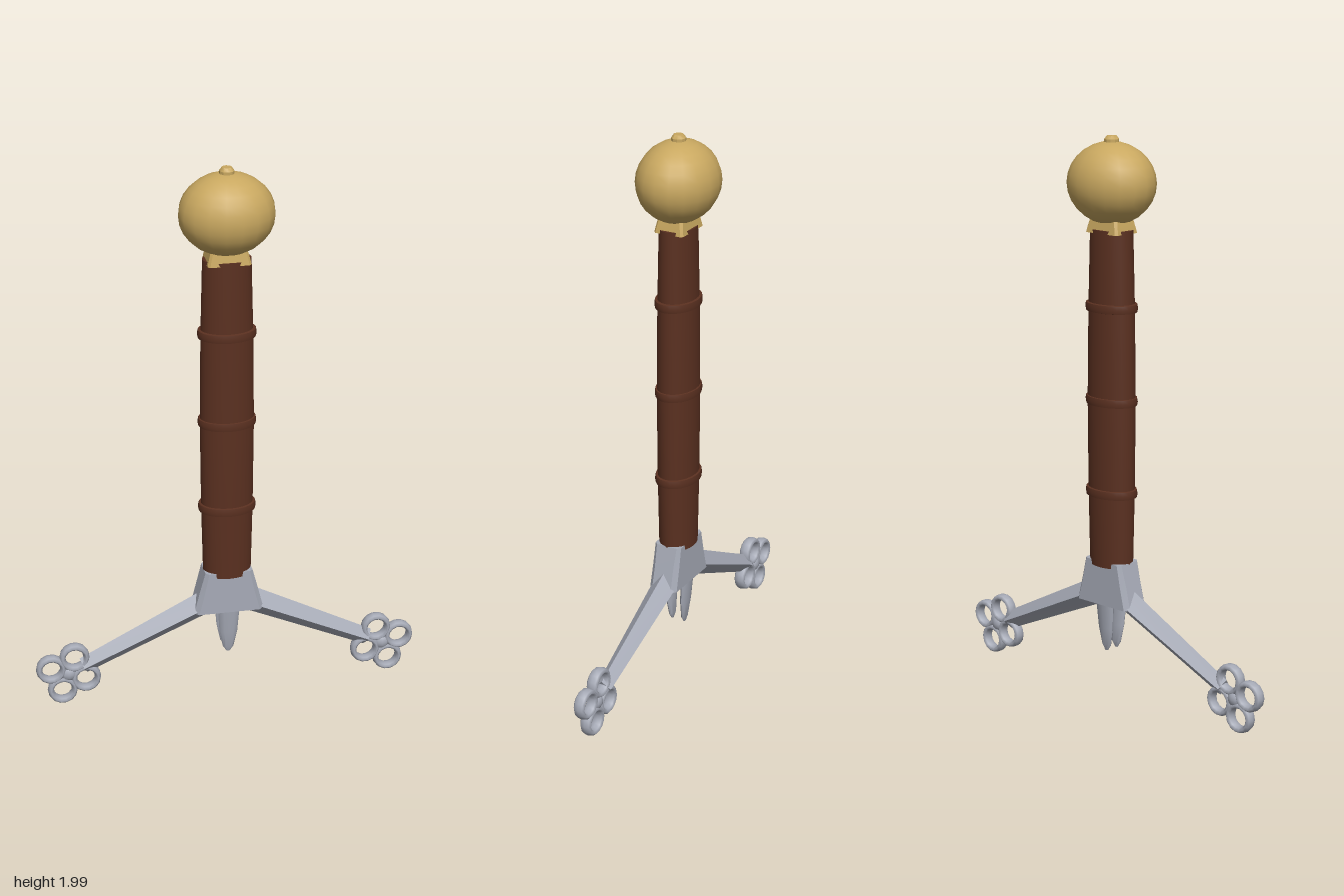
import * as THREE from 'three';
import { toCreasedNormals } from 'three/addons/utils/BufferGeometryUtils.js';

const material = (name, color) => {
  const m = new THREE.MeshStandardMaterial({ color });
  m.name = name;
  return m;
};

// Joins rings of points into a closed solid with creased edges
function loft(rings, crease = 0.3) {
  const pos = [];
  const tri = (...pts) => pts.forEach((p) => pos.push(...p));
  const n = rings[0].length;
  for (let i = 0; i < rings.length - 1; i++) {
    for (let j = 0; j < n; j++) {
      const k = (j + 1) % n;
      const a = rings[i][j], b = rings[i][k], c = rings[i + 1][k], d = rings[i + 1][j];
      tri(a, b, c);
      tri(a, c, d);
    }
  }
  const first = rings[0], last = rings[rings.length - 1];
  for (let j = 1; j < n - 1; j++) {
    tri(first[0], first[j + 1], first[j]);
    tri(last[0], last[j], last[j + 1]);
  }
  const g = new THREE.BufferGeometry();
  g.setAttribute('position', new THREE.Float32BufferAttribute(pos, 3));
  return toCreasedNormals(g, crease);
}

// Horizontal rectangle with cut corners
const cutRect = (y, hx, hz, c) => [
  [hx, y, hz - c], [hx, y, c - hz], [hx - c, y, -hz], [c - hx, y, -hz],
  [-hx, y, c - hz], [-hx, y, hz - c], [c - hx, y, hz], [hx - c, y, hz],
];

// Horizontal ellipse
const ellipse = (y, hx, zc, hz, n = 12) => Array.from({ length: n }, (_, i) => {
  const a = (i / n) * Math.PI * 2;
  return [Math.cos(a) * hx, y, zc - Math.sin(a) * hz];
});

export function createModel() {
  const gold = material('gold', 0xc9a860);
  const leather = material('leather', 0x5a3020);
  const steel = material('steel', 0xa6aab6);

  const model = new THREE.Group();
  model.name = 'swordHilt';
  const add = (name, geometry, mat, parent = model) => {
    const mesh = new THREE.Mesh(geometry, mat);
    mesh.name = name;
    parent.add(mesh);
    return mesh;
  };
  const lathe = (pts, sides) => toCreasedNormals(
    new THREE.LatheGeometry(pts.map(([r, y]) => new THREE.Vector2(r, y)), sides), 0.6);

  // Pommel, its nub and its collar
  const pommel = add('pommel', new THREE.SphereGeometry(1, 18, 14), gold);
  pommel.scale.set(0.166, 0.143, 0.141);
  pommel.position.y = 1.838;
  add('pommelNub', lathe([[0.026, 1.965], [0.026, 1.988], [0.017, 2], [0, 2]], 10), gold);
  add('pommelCollar', loft([
    cutRect(1.668, 0.075, 0.056, 0.008), cutRect(1.685, 0.072, 0.053, 0.008), cutRect(1.73, 0.06, 0.045, 0.008),
  ]), gold);

  // Oval grip with three raised bands
  const grip = add('grip', lathe([
    [0, 0.482], [0.087, 0.482], [0.093, 0.75], [0.096, 1.08], [0.092, 1.41], [0.085, 1.68], [0, 1.68],
  ], 24), leather);
  grip.scale.z = 0.72;
  for (const y of [0.75, 1.08, 1.41]) {
    const band = add('gripBand', lathe([
      [0.09, y - 0.016], [0.101, y - 0.014], [0.104, y], [0.101, y + 0.014], [0.09, y + 0.016],
    ], 24), leather);
    band.scale.z = 0.73;
  }

  // Flared centre block of the guard
  add('guardBlock', loft([
    cutRect(0.34, 0.127, 0.054, 0.016), cutRect(0.42, 0.107, 0.053, 0.016), cutRect(0.5, 0.086, 0.052, 0.012),
  ]), steel);

  // Tongues hanging on the front and back of the blade slot
  for (const s of [1, -1]) {
    add(s > 0 ? 'frontTongue' : 'backTongue', loft([
      ellipse(0.165, 0.006, s * 0.025, 0.004), ellipse(0.185, 0.02, s * 0.025, 0.009),
      ellipse(0.25, 0.033, s * 0.029, 0.013), ellipse(0.35, 0.04, s * 0.035, 0.016),
    ], 0.7), steel);
  }

  // Sloping diamond-section arms, each ending in four rings
  const armRing = (x, y, h, d) => [
    [x, y, -d], [x + h * 0.42, y + h * 0.9, 0], [x, y, d], [x - h * 0.42, y - h * 0.9, 0],
  ];
  for (const s of [1, -1]) {
    const arm = new THREE.Group();
    arm.name = s > 0 ? 'leftArm' : 'rightArm';
    if (s < 0) arm.rotation.y = Math.PI;
    model.add(arm);
    add('armBar', loft([armRing(0.02, 0.392, 0.05, 0.051), armRing(0.53, 0.15, 0.033, 0.029)]), steel, arm);
    const foil = new THREE.Group();
    foil.name = 'quatrefoil';
    foil.position.set(0.585, 0.125, 0);
    arm.add(foil);
    for (let i = 0; i < 4; i++) {
      const a = THREE.MathUtils.degToRad(20 + i * 90);
      const ring = add('foilRing', new THREE.TorusGeometry(0.044, 0.0115, 8, 14), steel, foil);
      ring.position.set(Math.cos(a) * 0.067, Math.sin(a) * 0.067, 0);
      ring.scale.z = 1.9;
    }
    const boss = add('foilBoss', new THREE.SphereGeometry(0.031, 12, 8), steel, foil);
    boss.scale.z = 0.8;
  }

  return model;
}
